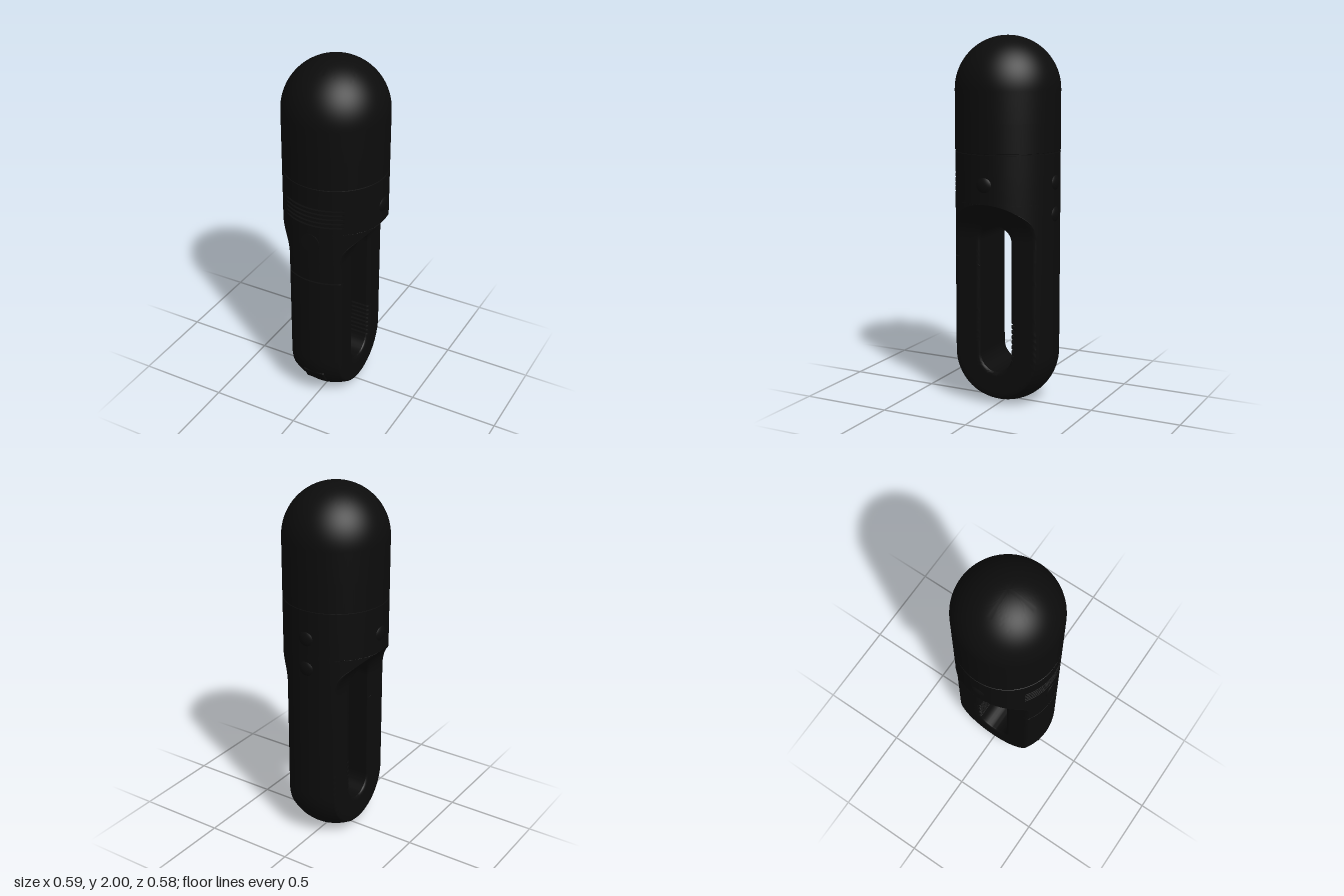
import * as THREE from 'three';
import { toCreasedNormals } from 'three/addons/utils/BufferGeometryUtils.js';
import { RoundedBoxGeometry } from 'three/addons/geometries/RoundedBoxGeometry.js';

const RAD = 0.284, HALF = 0.155, FILLET = 0.19, FLARE_Y = 0.92, SOFT = 0.012;
const FLARE_END = FLARE_Y + FILLET * Math.SQRT1_2;
const FLARE_X = HALF + FILLET * (1 - Math.SQRT1_2);
const TOP = FLARE_END + RAD - FLARE_X; // where the flare meets the full body
const BASE = RAD - Math.sqrt(RAD ** 2 - (HALF - SOFT) ** 2);
const SLOT_R = 0.094, SLOT_LO = 0.185, SLOT_HI = 1.0;
const EPS = 0.0008;

const steps = (n, a, b) => Array.from({ length: n + 1 }, (_, i) => a + (b - a) * i / n);
const inside = (y, list) => list.some(([lo, hi]) => y > lo && y < hi);
const breaks = (list) => list.flatMap(([lo, hi]) => [lo - EPS, lo + EPS, hi - EPS, hi + EPS]);

// Grooves as [low, high] heights
const seam = [[0.815, 0.822]];
const grip = steps(7, 0.264, 0.46).map((y) => [y, y + 0.012]);
const grille = steps(4, 1.165, 1.265).map((y) => [y, y + 0.01]);
const ring = [[1.387, 1.394]];

// Capsule radius at a height; the front of the handle carries the seam
function radius(y, side = 0) {
  const d = Math.max(0, RAD - y, y - (2 - RAD));
  const r = Math.sqrt(Math.max(0, RAD * RAD - d * d));
  return side > 0 && inside(y, seam) ? r - 0.02 : r;
}

// Half width of the handle, flaring into the body
function width(y) {
  if (y < FLARE_Y) return HALF;
  if (y < FLARE_END) return HALF + FILLET - Math.sqrt(FILLET ** 2 - (y - FLARE_Y) ** 2);
  return FLARE_X + y - FLARE_END;
}
const soft = (y) => SOFT * Math.max(0, Math.min(1, (TOP - y) / 0.1));
const edge = (y) => width(y) - soft(y);

// Shared parameter u runs from the bottom (0) to the top (PI) of both outlines
const span = (lo, hi) => ({
  y: (u) => (lo + hi) / 2 - (hi - lo) / 2 * Math.cos(u),
  u: (y) => Math.acos(((lo + hi) / 2 - y) / ((hi - lo) / 2)),
});
const outer = span(BASE, TOP), slot = span(SLOT_LO, SLOT_HI);
const us = [
  ...steps(72, 0, Math.PI),
  ...breaks(seam).map(outer.u),
  ...breaks(grip).map(slot.u),
].sort((a, b) => a - b);
const loop = [...us.map((u) => [u, 1]), ...us.slice().reverse().map((u) => [u, -1])];

function outerPoint([u, side]) {
  const y = outer.y(u);
  return [y, side * Math.sqrt(Math.max(0, radius(y, side) ** 2 - edge(y) ** 2))];
}
function slotPoint([u, side]) {
  const y = slot.y(u);
  const d = Math.max(0, SLOT_LO + SLOT_R - y, y - (SLOT_HI - SLOT_R));
  const z = Math.sqrt(Math.max(0, SLOT_R ** 2 - d * d));
  return [y, side * z - (side < 0 && inside(y, grip) ? 0.014 : 0)];
}

// Surface over two lists of parameters
function grid(as, bs, fn) {
  const pos = [], idx = [], n = bs.length;
  for (const a of as) for (const b of bs) pos.push(...fn(a, b));
  for (let i = 0; i < as.length - 1; i++) {
    for (let j = 0; j < n - 1; j++) {
      const p = i * n + j, q = p + n;
      idx.push(p, q, q + 1, p, q + 1, p + 1);
    }
  }
  const geo = new THREE.BufferGeometry();
  geo.setAttribute('position', new THREE.Float32BufferAttribute(pos, 3));
  geo.setIndex(idx);
  return toCreasedNormals(geo, 0.6);
}

export function createModel() {
  const model = new THREE.Group();
  const group = new THREE.Group();
  group.name = 'device';
  group.position.z = 0.003;
  model.add(group);
  const black = new THREE.MeshStandardMaterial({ color: 0x0c0c0c });
  const add = (name, geo) => {
    const mesh = new THREE.Mesh(geo, black);
    mesh.name = name;
    group.add(mesh);
    return mesh;
  };

  // Domed upper body with a ring seam and a front grille
  const bodyRows = [
    TOP, ...breaks(grille), ...breaks(ring), 1.55,
    ...steps(32, 0, Math.PI / 2).map((a) => 2 - RAD + RAD * Math.sin(a)),
  ];
  add('upperBody', grid(steps(96, -Math.PI, Math.PI), bodyRows, (a, y) => {
    let r = radius(y);
    if (Math.abs(a) < 0.6 && inside(y, grille)) r -= 0.012;
    if (inside(y, ring)) r -= 0.004;
    return [r * Math.sin(a), y, r * Math.cos(a)];
  }));

  // Curved front and back skins of the handle
  const low = Math.acos(1 - BASE / RAD);
  const skinRows = [
    ...steps(10, 0, low).slice(0, -1).map((a) => RAD * (1 - Math.cos(a))),
    ...us.map(outer.y),
  ];
  for (const side of [1, -1]) {
    add(side > 0 ? 'handleFront' : 'handleBack', grid(steps(48, -1, 1), skinRows, (t, y) => {
      const r = radius(y, side);
      const a = t * (y < BASE ? Math.PI / 2 : Math.asin(Math.min(1, edge(y) / (r || 1))));
      return [side * r * Math.sin(a), y, side * r * Math.cos(a)];
    }));
  }

  // Flat handle sides with softened rims, from the slot out to the skin
  const across = [0, 0.01, 0.04, 0.08, 0.15, 0.3, 0.5, 0.7, 0.85, 0.92, 0.96, 0.99, 1];
  for (const dir of [1, -1]) {
    add(dir > 0 ? 'handleLeftSide' : 'handleRightSide', grid(loop, across, (l, t) => {
      const s = dir > 0 ? t : 1 - t;
      const [y0, z0] = slotPoint(l), [y1, z1] = outerPoint(l);
      const y = y0 + (y1 - y0) * s, z = z0 + (z1 - z0) * s;
      const k = 1 - Math.min(1, Math.min(s, 1 - s) / 0.15);
      return [dir * (width(y) - soft(y) * (1 - Math.sqrt(1 - k * k))), y, z];
    }));
  }

  // Inner wall of the slot, ribbed at the back
  add('slotWall', grid(loop, steps(4, -1, 1), (l, t) => {
    const [y, z] = slotPoint(l);
    return [t * edge(y), y, z];
  }));

  // Domed buttons: one each side, two at the back
  const domes = [['leftButton', 1.23, 1], ['rightButton', 1.23, -1],
    ['backUpperButton', 1.23, 2], ['backLowerButton', 1.06, 2]];
  for (const [name, y, quarter] of domes) {
    const a = quarter * Math.PI / 2;
    const button = add(name, new THREE.SphereGeometry(1, 32, 20));
    button.scale.set(0.05, 0.05, 0.028);
    button.rotation.y = a;
    button.position.set(0.267 * Math.sin(a), y, 0.267 * Math.cos(a));
  }

  // Flat round button on the front
  const front = add('frontButton', new THREE.CylinderGeometry(0.054, 0.054, 0.03, 40));
  front.rotation.x = Math.PI / 2;
  front.position.set(0, 1.06, 0.272);

  // Small rounded panel low on the front, lying along the bottom curve
  const panel = add('lowerPanel', new RoundedBoxGeometry(0.13, 0.09, 0.02, 3, 0.008));
  const tilt = 0.5;
  panel.rotation.x = tilt;
  panel.position.set(0, RAD - 0.273 * Math.sin(tilt), 0.273 * Math.cos(tilt));

  return model;
}
